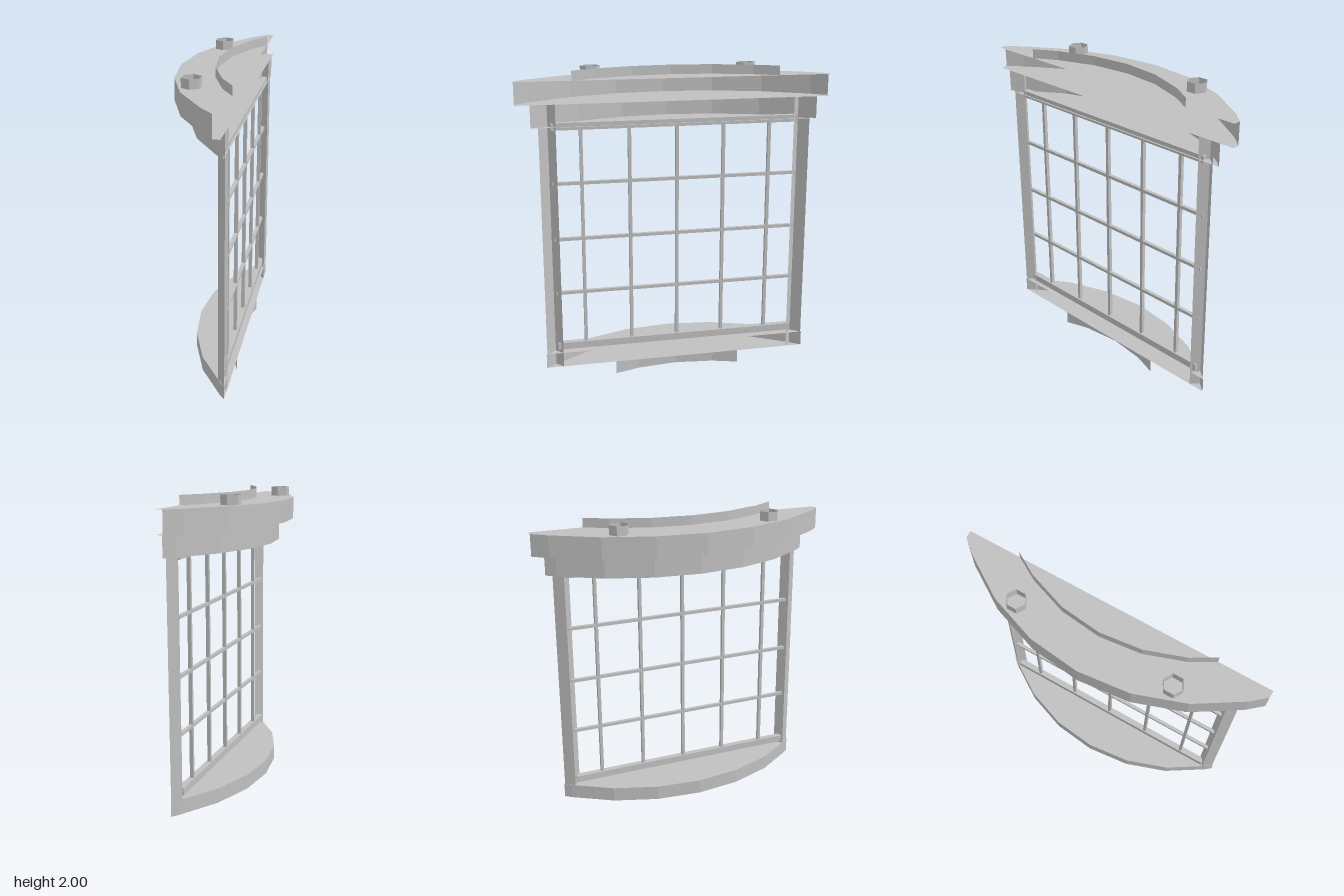
import * as THREE from 'three';

const grey = new THREE.MeshStandardMaterial({ color: 0xc0c0c0, side: THREE.DoubleSide });
const BACK = 0.225; // plane of the flat open side

// Faceted arc in plan, bulging towards -x: apex at z = 0, ends at z = +-half
function arc(apexX, endX, half) {
  const sag = endX - apexX;
  const r = (half * half + sag * sag) / (2 * sag);
  const end = Math.asin(half / r);
  const step = THREE.MathUtils.degToRad(13.1);
  const angles = [0];
  for (let a = step; a < end - 0.02; a += step) angles.push(a, -a);
  angles.push(end, -end);
  angles.sort((a, b) => a - b);
  return angles.map(a => [apexX + r * (1 - Math.cos(a)), r * Math.sin(a)]);
}

// Upright sheet following [x, z] points, with flat facets
function wall(name, points, y0, y1) {
  const pos = [];
  for (let i = 0; i < points.length - 1; i++) {
    const [ax, az] = points[i], [bx, bz] = points[i + 1];
    pos.push(ax, y0, az, bx, y0, bz, bx, y1, bz);
    pos.push(ax, y0, az, bx, y1, bz, ax, y1, az);
  }
  const g = new THREE.BufferGeometry();
  g.setAttribute('position', new THREE.Float32BufferAttribute(pos, 3));
  g.computeVertexNormals();
  const m = new THREE.Mesh(g, grey);
  m.name = name;
  return m;
}

// Level sheet filling the outline
function plate(name, points, y) {
  const shape = new THREE.Shape(points.map(([x, z]) => new THREE.Vector2(x, z)));
  const m = new THREE.Mesh(new THREE.ShapeGeometry(shape).rotateX(Math.PI / 2), grey);
  m.position.y = y;
  m.name = name;
  return m;
}

function bar(name, x0, x1, y0, y1, z0, z1) {
  const m = new THREE.Mesh(new THREE.BoxGeometry(x1 - x0, y1 - y0, z1 - z0), grey);
  m.position.set((x0 + x1) / 2, (y0 + y1) / 2, (z0 + z1) / 2);
  m.name = name;
  return m;
}

export function createModel() {
  const model = new THREE.Group();
  model.name = 'windowBay';

  // Wide cornice, its plates running past the rim to the open side
  const cornice = arc(-0.225, 0.18, 1);
  const corniceOutline = [[BACK, -1], ...cornice, [BACK, 1]];
  model.add(wall('corniceRim', cornice, 1.8, 1.94));
  model.add(plate('corniceTop', corniceOutline, 1.94));
  model.add(plate('corniceUnderside', corniceOutline, 1.8));

  // Head moulding below the cornice
  const head = arc(-0.13, BACK, 0.91);
  model.add(wall('headRim', head, 1.66, 1.8));
  model.add(plate('headUnderside', head, 1.66));

  // Sill
  const sill = arc(-0.105, BACK, 0.87);
  model.add(wall('sillRim', sill, 0.085, 0.18));
  model.add(plate('sillTop', sill, 0.18));
  model.add(plate('sillUnderside', sill, 0.085));

  // Curved fins above and below
  model.add(wall('topFin', arc(0.02, BACK, 0.655), 1.94, 2));
  model.add(wall('bottomFin', arc(0.145, BACK, 0.415), 0, 0.085));

  for (const s of [1, -1]) {
    const side = s > 0 ? 'front' : 'back';
    // Hollow hexagonal studs on the cornice
    const hex = [];
    for (let i = 0; i <= 6; i++) {
      const a = i * Math.PI / 3;
      hex.push([-0.041 + 0.063 * Math.sin(a), s * 0.51 + 0.063 * Math.cos(a)]);
    }
    model.add(wall(side + 'Stud', hex, 1.94, 2));

    // V-section posts
    const vee = [[BACK, s * 0.865], [0.175, s * 0.805], [BACK, s * 0.76]];
    model.add(wall(side + 'Post', vee, 0.085, 1.8));
  }

  // Lattice: thick end rails, thin middle rails and upright bars
  const lattice = new THREE.Group();
  lattice.name = 'lattice';
  for (const y of [0.2, 1.64]) lattice.add(bar('endRail', 0.173, 0.214, y, y + 0.045, -0.79, 0.79));
  for (const y of [0.585, 0.943, 1.303]) lattice.add(bar('middleRail', 0.18, 0.203, y - 0.01, y + 0.01, -0.79, 0.79));
  for (let i = -2; i <= 2; i++) {
    const z = i * 0.303;
    lattice.add(bar('uprightBar', 0.18, 0.203, 0.245, 1.64, z - 0.01, z + 0.01));
  }
  model.add(lattice);
  return model;
}
